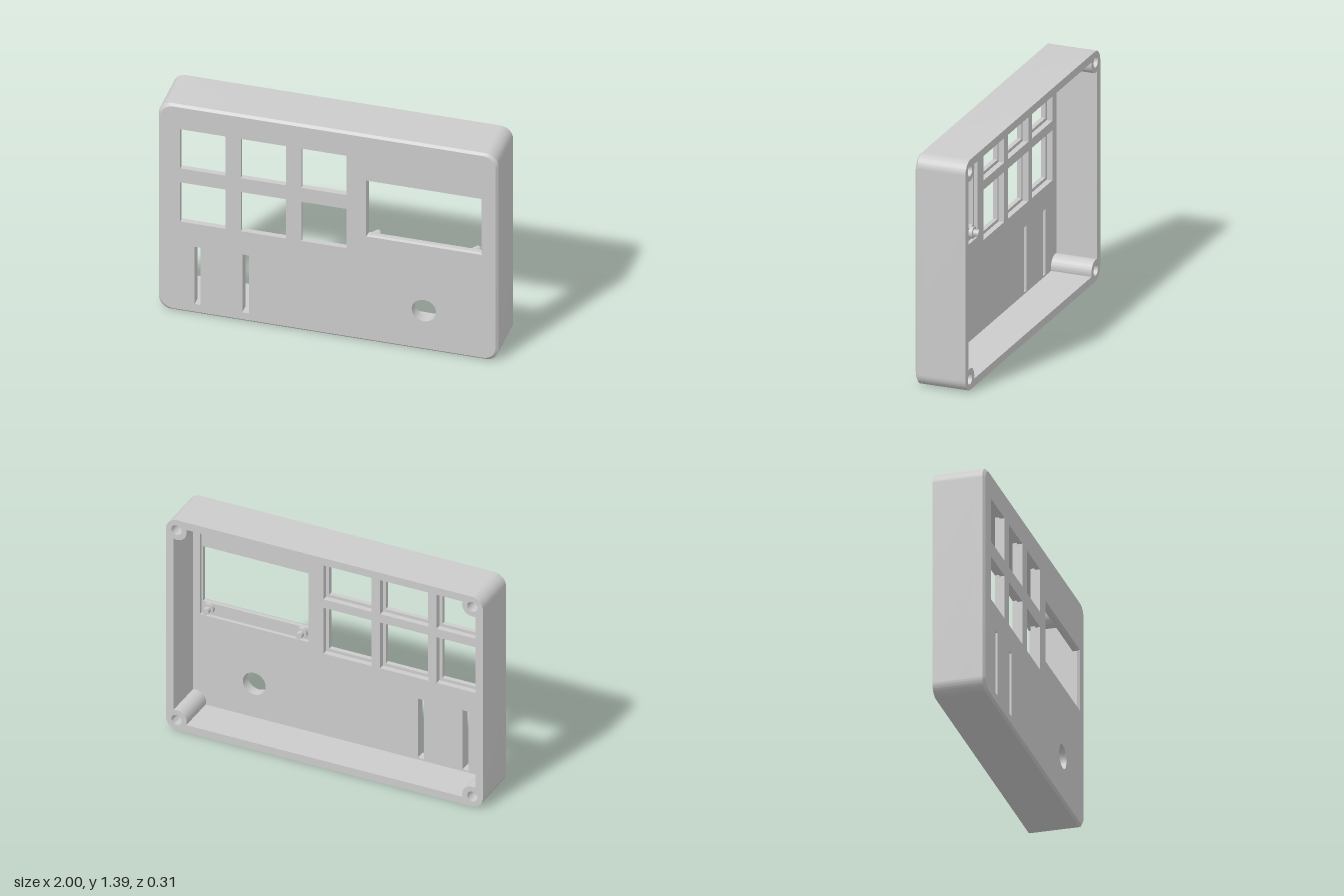
import * as THREE from 'three';
import { toCreasedNormals } from 'three/addons/utils/BufferGeometryUtils.js';

const W = 1, H = 1.395, R = 0.075;          // half width, height, corner radius
const FRONT = 0.155, BACK = -0.155, FLOOR = 0.093;
const LIP = 0.127, LEDGE = 0.115, CHAMFER = 0.014;
const WALL = 0.048, BOSS = 0.067, BOSS_R = 0.064;

const material = new THREE.MeshStandardMaterial({ color: 0xcccccc });

function outline() {
  const s = new THREE.Shape();
  s.moveTo(-W + R, 0);
  s.absarc(W - R, R, R, -Math.PI / 2, 0);
  s.absarc(W - R, H - R, R, 0, Math.PI / 2);
  s.absarc(-W + R, H - R, R, Math.PI / 2, Math.PI);
  s.absarc(-W + R, R, R, Math.PI, Math.PI * 1.5);
  return s;
}

function rect(x0, x1, y0, y1) {
  return new THREE.Path([[x0, y0], [x0, y1], [x1, y1], [x1, y0]].map(p => new THREE.Vector2(...p)));
}

function circle(x, y, r) {
  return new THREE.Path().absarc(x, y, r, 0, Math.PI * 2, true);
}

function extrude(shape, z0, z1) {
  const g = new THREE.ExtrudeGeometry(shape, { depth: z1 - z0, bevelEnabled: false, curveSegments: 16 });
  return g.translate(0, 0, z0);
}

function part(name, geometry) {
  const m = new THREE.Mesh(toCreasedNormals(geometry, 0.5), material);
  m.name = name;
  return m;
}

// One slice of the front panel, with its key and display openings
function panelShape(keySize, display) {
  const s = outline(), k = keySize / 2;
  for (const x of [-0.738, -0.381, -0.024])
    for (const y of [0.742, 1.102]) s.holes.push(rect(x - k, x + k, y - k, y + k));
  s.holes.push(rect(...display));
  for (const x of [-0.769, -0.486]) s.holes.push(rect(x - 0.019, x + 0.019, 0.06, 0.453));
  s.holes.push(circle(0.565, 0.27, 0.072));
  return s;
}

// Cavity outline: straight walls with a round bite at each screw boss
function cavity() {
  const p = new THREE.Path();
  const d = BOSS - WALL, a = Math.asin(d / BOSS_R);
  const corners = [[-W + BOSS, BOSS, 0], [-W + BOSS, H - BOSS, -1], [W - BOSS, H - BOSS, -2], [W - BOSS, BOSS, -3]];
  corners.forEach(([x, y, turn], i) => {
    const t = turn * Math.PI / 2, start = t - a, end = t + Math.PI / 2 + a;
    if (i === 0) p.moveTo(x + BOSS_R * Math.cos(start), y + BOSS_R * Math.sin(start));
    p.absarc(x, y, BOSS_R, start, end, false);
  });
  p.closePath();
  return p;
}

export function createModel() {
  const model = new THREE.Group();
  model.name = 'enclosure';

  // Side walls with corner screw bosses
  const walls = outline();
  walls.holes.push(cavity());
  for (const x of [-W + BOSS, W - BOSS])
    for (const y of [BOSS, H - BOSS]) walls.holes.push(circle(x, y, 0.032));
  model.add(part('sideWalls', extrude(walls, BACK, FLOOR)));

  // Front panel slices, stepped on the inside
  const window = [0.23, 0.9, 0.717, 1.082], recess = [0.222, 0.908, 0.64, 1.24];
  model.add(part('panelInner', extrude(panelShape(0.304, recess), FLOOR, LEDGE)));
  model.add(part('panelMiddle', extrude(panelShape(0.304, window), LEDGE, LIP)));
  model.add(part('panelLip', extrude(panelShape(0.266, window), LIP, FRONT - CHAMFER)));

  // Front face: chamfer the outer edge and the display opening
  const face = extrude(panelShape(0.266, window), FRONT - CHAMFER, FRONT);
  const pos = face.attributes.position, cx = 0.565, cy = 0.9;
  for (let i = 0; i < pos.count; i++) {
    if (pos.getZ(i) < FRONT - 0.001) continue;
    const x = pos.getX(i), y = pos.getY(i), v = y - H / 2;
    if (Math.abs(x) > 0.92 || Math.abs(v) > 0.66)
      pos.setXY(i, x * (1 - CHAMFER / W), H / 2 + v * (1 - CHAMFER / (H / 2)));
    else if (Math.abs(x - cx) < 0.34 && Math.abs(y - cy) < 0.19)
      pos.setXY(i, x + 0.007 * Math.sign(x - cx), y + 0.007 * Math.sign(y - cy));
  }
  face.computeVertexNormals();
  model.add(part('frontFace', face));

  // Display mounting pins: a low standoff with a thinner peg
  for (const x of [0.27, 0.858])
    for (const y of [0.684, 1.208]) {
      const pin = new THREE.Group();
      pin.name = 'displayPin';
      for (const [name, r, h] of [['standoff', 0.034, 0.022], ['peg', 0.02, 0.055]]) {
        const g = new THREE.CylinderGeometry(r, r, h, 24).rotateX(Math.PI / 2);
        pin.add(part(name, g.translate(x, y, LEDGE - h / 2)));
      }
      model.add(pin);
    }

  return model;
}
